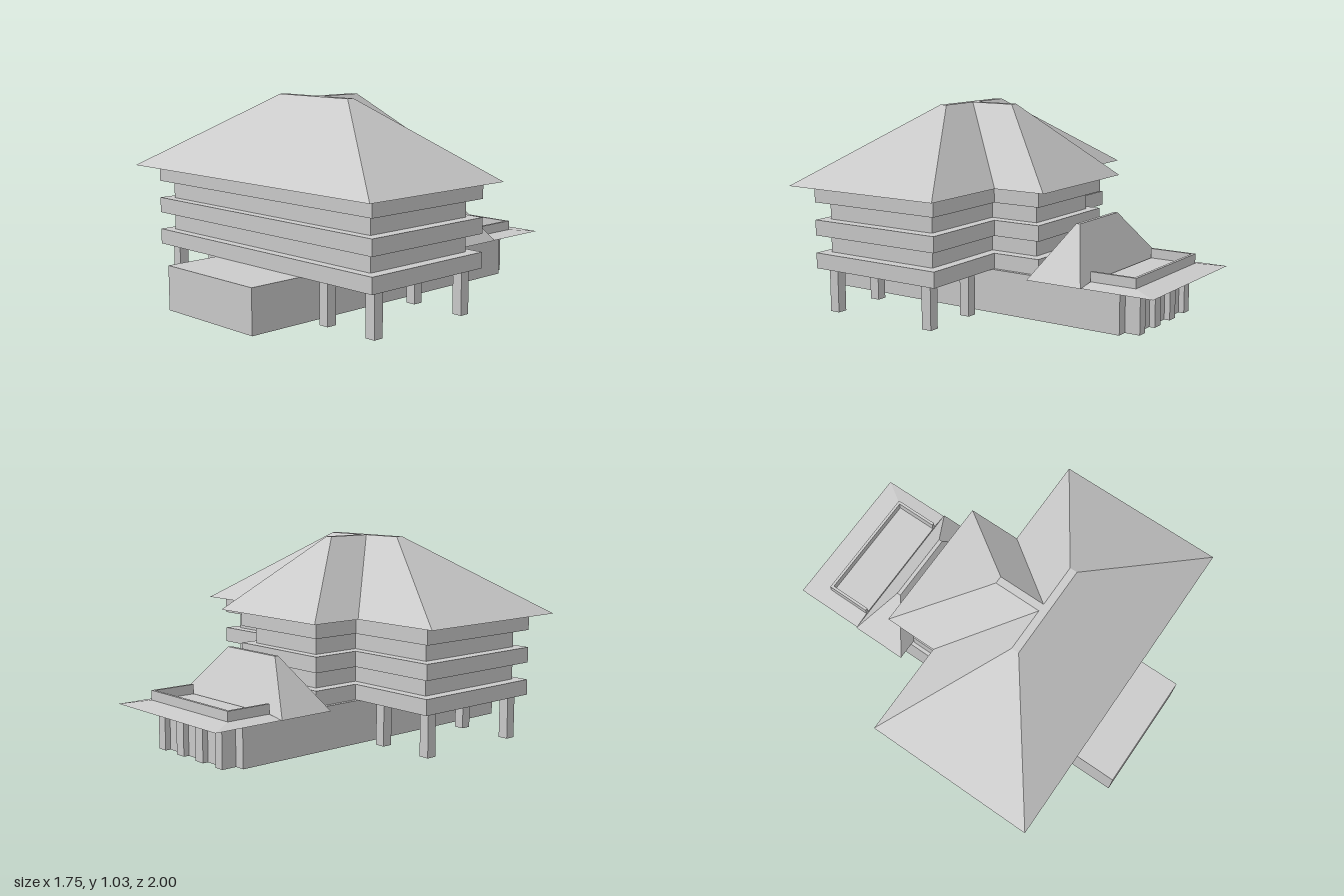
import * as THREE from 'three';

const material = new THREE.MeshStandardMaterial({ color: 0xcccccc, flatShading: true });

function add(parent, name, geometry) {
  const mesh = new THREE.Mesh(geometry, material);
  mesh.name = name;
  parent.add(mesh);
  return mesh;
}

// Box given by its limits along each axis
function box(parent, name, x0, x1, y0, y1, z0, z1) {
  const mesh = add(parent, name, new THREE.BoxGeometry(x1 - x0, y1 - y0, z1 - z0));
  mesh.position.set((x0 + x1) / 2, (y0 + y1) / 2, (z0 + z1) / 2);
  return mesh;
}

// Hipped roof: a box whose top face shrinks to a flat ridge.
// low and high are [halfWidth, y, zBack, zFront]
function hipRoof(parent, name, low, high) {
  const geometry = new THREE.BoxGeometry(2, 2, 2);
  const p = geometry.attributes.position;
  for (let i = 0; i < p.count; i++) {
    const [w, y, zBack, zFront] = p.getY(i) > 0 ? high : low;
    p.setXYZ(i, p.getX(i) * w, y, p.getZ(i) > 0 ? zFront : zBack);
  }
  geometry.computeVertexNormals();
  return add(parent, name, geometry);
}

export function createModel() {
  const model = new THREE.Group();
  model.name = 'pavilion';

  // Ground floor hall with a narrower entrance end
  const hall = new THREE.Group();
  hall.name = 'groundHall';
  model.add(hall);
  box(hall, 'hallBlock', -0.32, 0.32, 0, 0.225, -0.78, 1);
  box(hall, 'entranceWall', -0.265, 0.265, 0, 0.225, -0.83, -0.78);
  box(hall, 'entranceLintel', -0.265, 0.265, 0.185, 0.225, -0.86, -0.83);
  // Four piers leave three recessed doorways
  const piers = [[-0.265, -0.21], [-0.11, -0.05], [0.05, 0.11], [0.21, 0.265]];
  for (const [x0, x1] of piers) box(hall, 'entrancePier', x0, x1, 0, 0.185, -0.86, -0.83);

  // Columns under the overhanging upper floors
  for (const x of [-0.73, -0.425, 0.425, 0.73])
    for (const z of [0.035, 0.63])
      box(model, 'column', x - 0.027, x + 0.027, 0, 0.226, z - 0.027, z + 0.027);

  // Upper floors: recessed walls wrapped by projecting balcony bands
  const floors = new THREE.Group();
  floors.name = 'upperFloors';
  model.add(floors);
  box(floors, 'mainWalls', -0.735, 0.735, 0.24, 0.64, 0.01, 0.66);
  box(floors, 'wingWalls', -0.24, 0.24, 0.24, 0.64, -0.26, 0.1);
  for (const [y0, y1] of [[0.225, 0.305], [0.395, 0.475], [0.565, 0.65]]) {
    box(floors, 'mainBand', -0.795, 0.795, y0, y1, -0.045, 0.71);
    box(floors, 'wingBand', -0.3, 0.3, y0, y1, -0.31, -0.045);
  }

  // Main roof and the rear wing roof that meets it at two valleys
  hipRoof(model, 'mainRoof', [0.875, 0.65, -0.1, 0.805], [0.25, 1.035, 0.29, 0.33]);
  hipRoof(model, 'wingRoof', [0.375, 0.65, -0.385, 0.29], [0.02, 1.035, 0.04, 0.29]);

  // Porch roof, shallow eaves and terrace parapet at the back
  hipRoof(model, 'porchRoof', [0.415, 0.225, -0.62, -0.315], [0.19, 0.485, -0.48, -0.46]);
  hipRoof(model, 'terraceEaves', [0.41, 0.225, -1, -0.62], [0.32, 0.24, -0.865, -0.62]);
  for (const s of [-1, 1])
    box(model, 'sideParapet', s * 0.3125 - 0.0075, s * 0.3125 + 0.0075, 0.23, 0.29, -0.85, -0.62);
  box(model, 'backParapet', -0.32, 0.32, 0.23, 0.29, -0.865, -0.85);

  return model;
}
